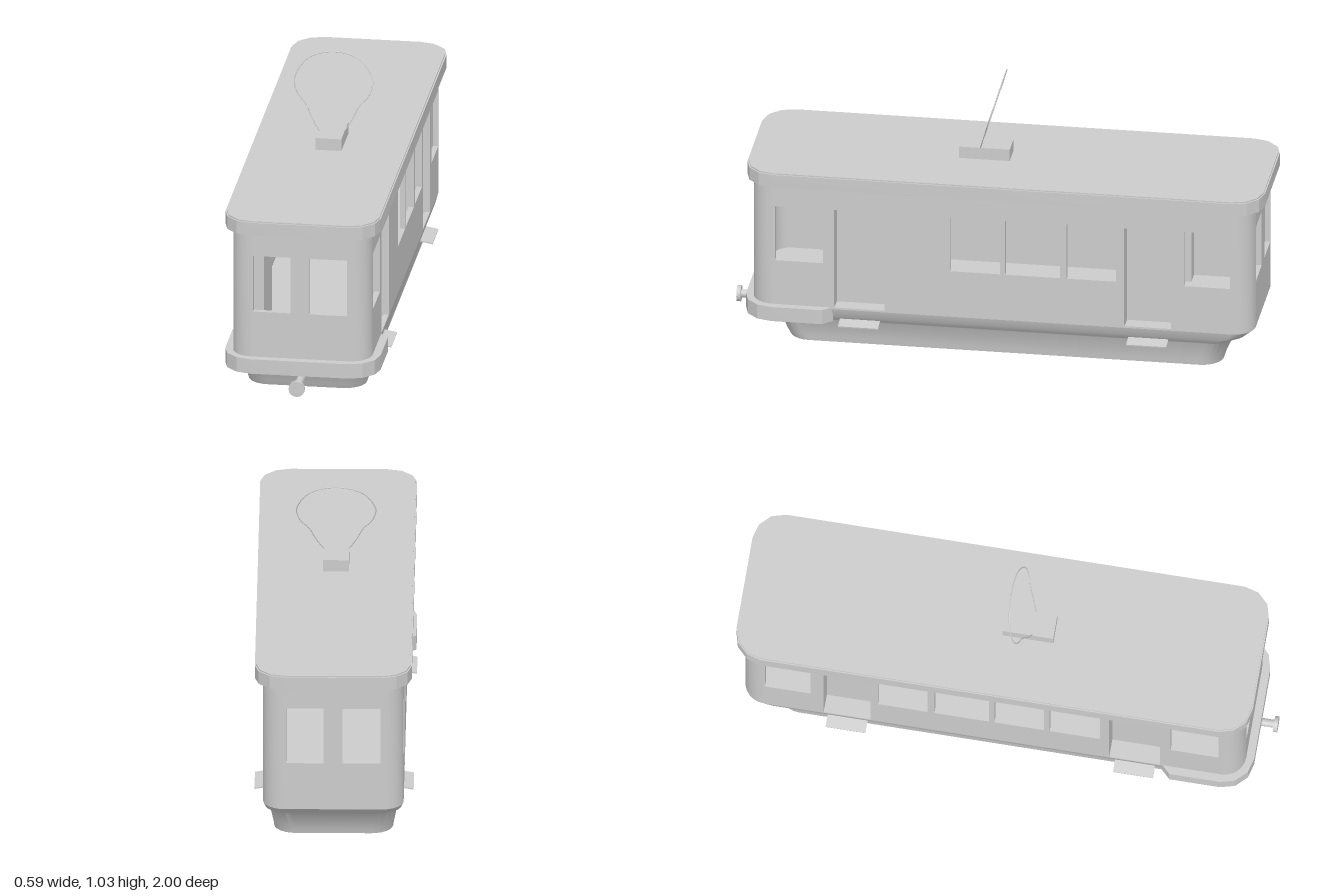
import * as THREE from 'three';
import { toCreasedNormals } from 'three/addons/utils/BufferGeometryUtils.js';

const material = new THREE.MeshStandardMaterial({ color: 0xcccccc, side: THREE.DoubleSide });
const HALF = 0.26, FRONT = 0.91, BACK = -0.965, WALL = 0.02, RADIUS = 0.08;
const FLOOR = 0.15, TOP = 0.655, SILL = 0.335, HEAD = 0.555;

export function createModel() {
  const model = new THREE.Group();

  function add(name, geometry, x = 0, y = 0, z = 0, parent = model) {
    const mesh = new THREE.Mesh(geometry, material);
    mesh.name = name;
    mesh.position.set(x, y, z);
    parent.add(mesh);
    return mesh;
  }

  // Rounded rectangle seen from above, as points (x, z)
  function plan(hx, zf, zb, r, steps) {
    const pts = [];
    const centres = [[hx - r, zf - r], [r - hx, zf - r], [r - hx, zb + r], [hx - r, zb + r]];
    centres.forEach(([cx, cz], q) => {
      for (let i = 0; i <= steps; i++) {
        const a = (q + i / steps) * Math.PI / 2;
        pts.push(new THREE.Vector2(cx + r * Math.cos(a), cz + r * Math.sin(a)));
      }
    });
    return pts;
  }

  // Slab with a given plan between two heights
  function slab(points, y0, y1) {
    const g = new THREE.ExtrudeGeometry(new THREE.Shape(points), { depth: y1 - y0, bevelEnabled: false });
    return toCreasedNormals(g.rotateX(Math.PI / 2).translate(0, y1, 0), 0.5);
  }

  // Upright panel with rectangular openings [u0, u1, v0, v1]
  function panel(u0, u1, openings) {
    const rect = (path, a, b, c, d) =>
      path.moveTo(a, c).lineTo(b, c).lineTo(b, d).lineTo(a, d).closePath();
    const shape = rect(new THREE.Shape(), u0, u1, FLOOR, TOP);
    openings.forEach(o => shape.holes.push(rect(new THREE.Path(), ...o)));
    return new THREE.ExtrudeGeometry(shape, { depth: WALL, bevelEnabled: false });
  }

  // Side walls: the -x side has one more saloon window
  const doors = [[0.41, 0.6], [-0.66, -0.485]];
  const windows = [[0.64, 0.82], [-0.02, 0.165], [-0.245, -0.04], [-0.455, -0.27], [-0.88, -0.71]];
  for (const side of [1, -1]) {
    const list = side > 0 ? windows : [...windows, [0.187, 0.375]];
    const openings = [
      ...list.map(([a, b]) => [a, b, SILL, HEAD]),
      ...doors.map(([a, b]) => [a, b, 0.157, HEAD]),
    ];
    const wall = panel(BACK + RADIUS, FRONT - RADIUS, openings).rotateY(-Math.PI / 2);
    add('sideWall', wall, side > 0 ? HALF : WALL - HALF);

    // Recessed doors with jambs, lintel and a folding step below
    for (const [a, b] of doors) {
      const door = new THREE.Group();
      door.name = 'doorway';
      model.add(door);
      const mid = (a + b) / 2, w = b - a, h = HEAD - FLOOR, y = (HEAD + FLOOR) / 2;
      add('doorPanel', new THREE.BoxGeometry(0.01, h, w), side * 0.183, y, mid, door);
      for (const z of [a - 0.005, b + 0.005])
        add('doorJamb', new THREE.BoxGeometry(0.065, h, 0.01), side * 0.21, y, z, door);
      add('doorLintel', new THREE.BoxGeometry(0.065, 0.01, w + 0.02), side * 0.21, HEAD + 0.005, mid, door);
      const step = add('step', new THREE.BoxGeometry(0.075, 0.005, 0.15), side * 0.257, 0.102, mid, door);
      step.rotation.z = -side * 0.18;
    }
  }

  // End walls
  const endWindows = [[-0.175, -0.035, SILL, HEAD], [0.035, 0.175, SILL, HEAD]];
  add('frontWall', panel(RADIUS - HALF, HALF - RADIUS, endWindows), 0, 0, FRONT - WALL);
  add('rearWall', panel(RADIUS - HALF, HALF - RADIUS, endWindows), 0, 0, BACK);

  // Rounded corner posts
  [[1, FRONT - RADIUS], [-1, FRONT - RADIUS], [-1, BACK + RADIUS], [1, BACK + RADIUS]].forEach(([s, cz], q) => {
    const outer = [], inner = [];
    for (let i = 0; i <= 6; i++) {
      const a = (q + i / 6) * Math.PI / 2;
      const at = r => new THREE.Vector2(s * (HALF - RADIUS) + r * Math.cos(a), cz + r * Math.sin(a));
      outer.push(at(RADIUS));
      inner.unshift(at(RADIUS - WALL));
    }
    add('cornerPost', slab([...outer, ...inner], FLOOR, TOP));
  });

  // Underbody tapering to the base: [y, half width, front z, back z]
  const levels = [
    [0, 0.22, 0.78, -0.84], [0.02, 0.223, 0.79, -0.845], [0.095, 0.236, 0.82, -0.878],
    [0.1, 0.24, 0.825, -0.885], [0.12, 0.253, 0.87, -0.93], [FLOOR, HALF, FRONT, BACK],
  ];
  const pos = [], index = [];
  const n = 28;
  levels.forEach(([y, hx, zf, zb]) =>
    plan(hx, zf, zb, RADIUS, 6).forEach(p => pos.push(p.x, y, p.y)));
  const last = levels.length - 1, low = n * levels.length, high = low + 1;
  pos.push(0, 0, 0, 0, FLOOR, 0);
  for (let i = 0; i < n; i++) {
    const j = (i + 1) % n;
    for (let k = 0; k < last; k++) {
      const a = k * n + i, b = k * n + j;
      index.push(a, b + n, b, a, a + n, b + n);
    }
    index.push(low, i, j, high, last * n + j, last * n + i);
  }
  const under = new THREE.BufferGeometry();
  under.setAttribute('position', new THREE.Float32BufferAttribute(pos, 3));
  under.setIndex(index);
  add('underbody', toCreasedNormals(under, 0.6));

  // Overhanging roof with a slightly inset top edge and under-trim
  add('roof', slab(plan(0.29, 0.935, -1, 0.11, 3), 0.645, 0.695));
  add('roofTop', slab(plan(0.285, 0.93, -0.995, 0.107, 3), 0.695, 0.7));
  add('roofTrim', slab(plan(0.265, 0.915, -0.97, 0.085, 4), 0.64, 0.646));

  // Front bumper wrapped around the nose
  const nose = plan(0.29, 0.94, 0, 0.11, 3).slice(0, 8);
  nose.push(new THREE.Vector2(-0.29, 0.64), new THREE.Vector2(-0.255, 0.605),
    new THREE.Vector2(0.255, 0.605), new THREE.Vector2(0.29, 0.64));
  add('bumper', slab(nose, 0.1, 0.157));

  // Coupler
  add('couplerRod', new THREE.CylinderGeometry(0.015, 0.015, 0.2, 12).rotateX(Math.PI / 2), 0, 0.07, 0.89);
  add('couplerDisc', new THREE.CylinderGeometry(0.03, 0.03, 0.015, 16).rotateX(Math.PI / 2), 0, 0.07, 0.9925);

  // Current collector: base block and leaning wire loop
  add('collectorBase', new THREE.BoxGeometry(0.096, 0.047, 0.19), 0, 0.7225, 0.07);
  const half = [[0.042, 0.74], [0.075, 0.79], [0.1, 0.84], [0.132, 0.875], [0.147, 0.92], [0.137, 0.955], [0.1, 1], [0.05, 1.022]];
  const lean = (x, y) => new THREE.Vector3(x, y, 0.085 - (y - 0.745) * 0.3);
  const loop = [
    ...half.map(([x, y]) => lean(-x, y)), lean(0, 1.028),
    ...half.slice().reverse().map(([x, y]) => lean(x, y)),
  ];
  add('collectorLoop', new THREE.TubeGeometry(new THREE.CatmullRomCurve3(loop), 48, 0.002, 6));

  return model;
}
